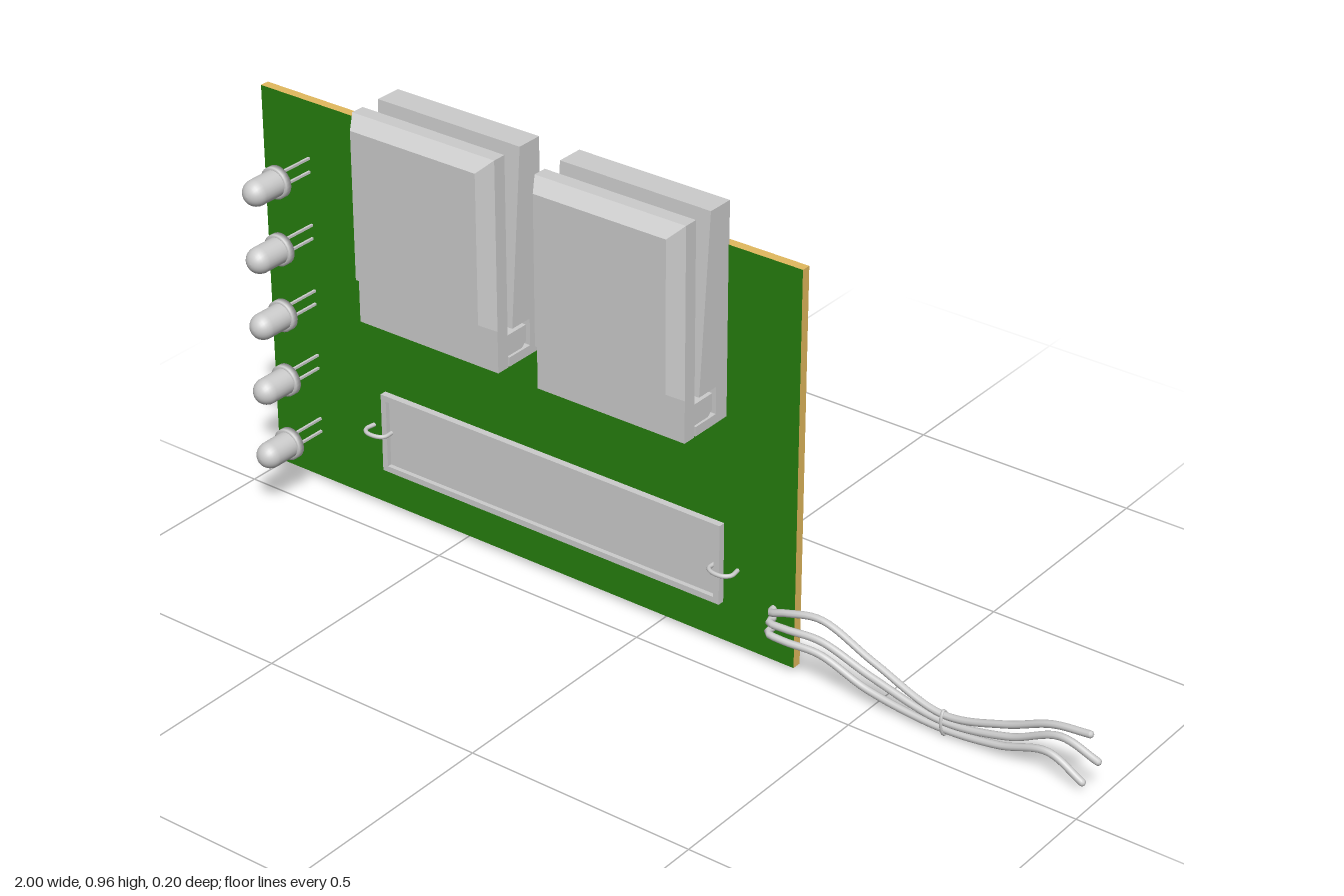
import * as THREE from 'three';

const material = (name, color) => {
  const m = new THREE.MeshStandardMaterial({ color });
  m.name = name;
  return m;
};

export function createModel() {
  const model = new THREE.Group();
  model.name = 'circuitBoardAssembly';
  const green = material('boardGreen', 0x267f0e);
  const tan = material('boardEdgeTan', 0xe3b95e);
  const grey = material('componentGrey', 0xcccccc);

  const add = (parent, name, geometry, x = 0, y = 0, z = 0, mat = grey) => {
    const mesh = new THREE.Mesh(geometry, mat);
    mesh.name = name;
    mesh.position.set(x, y, z);
    parent.add(mesh);
    return mesh;
  };
  const group = (name, x = 0, y = 0, z = 0) => {
    const g = new THREE.Group();
    g.name = name;
    g.position.set(x, y, z);
    model.add(g);
    return g;
  };
  // Round wire through a few points, with closed ends
  const wire = (parent, name, points, radius, segments = 24) => {
    const path = points.map((p) => new THREE.Vector3(...p));
    const curve = new THREE.CatmullRomCurve3(path);
    add(parent, name, new THREE.TubeGeometry(curve, segments, radius, 10));
    for (const t of [0, 1]) {
      const p = curve.getPoint(t);
      add(parent, name + 'End', new THREE.SphereGeometry(radius, 10, 6), p.x, p.y, p.z);
    }
  };
  // Side profile given as [z, y] points, extruded across x
  const sideProfile = (points, width) => {
    const shape = new THREE.Shape(points.map(([z, y]) => new THREE.Vector2(z, y)));
    const g = new THREE.ExtrudeGeometry(shape, { depth: width, bevelEnabled: false });
    return g.translate(0, 0, -width / 2).rotateY(-Math.PI / 2);
  };

  // Board: green faces, tan edges
  add(model, 'board', new THREE.BoxGeometry(1.316, 0.856, 0.02), -0.342, 0.442, -0.091,
    [tan, tan, tan, tan, green, green]);

  // Lamps with flange, domed lens and two leads
  const dome = [[0, 0.01], [0.034, 0.01], [0.034, 0.024], [0.028, 0.024], [0.028, 0.074]]
    .map(([r, h]) => new THREE.Vector2(r, h));
  const flange = dome.slice(0, 4);
  const lens = [dome[3], dome[4]];
  for (let i = 1; i <= 8; i++) {
    const a = (i / 8) * Math.PI / 2;
    lens.push(new THREE.Vector2(i === 8 ? 0 : 0.028 * Math.cos(a), 0.074 + 0.029 * Math.sin(a)));
  }
  for (let i = 0; i < 5; i++) {
    const lamp = group('lamp', -0.88, 0.137 + i * 0.148, 0);
    add(lamp, 'lampFlange', new THREE.LatheGeometry(flange, 24).rotateX(Math.PI / 2));
    add(lamp, 'lampLens', new THREE.LatheGeometry(lens, 24).rotateX(Math.PI / 2));
    for (const s of [-1, 1]) {
      add(lamp, 'lampLead', new THREE.BoxGeometry(0.005, 0.005, 0.095), 0, s * 0.015, -0.035);
    }
  }

  // Switches: wedge-shaped base, hooked rocker and bevelled pad
  const base = [[-0.083, 0.51], [0.016, 0.51], [0.016, 0.53], [-0.047, 0.53], [-0.047, 0.588],
    [0.006, 0.588], [-0.025, 0.96], [-0.083, 0.96]];
  const rocker = [[0.05, 0.51], [0.05, 0.96], [0.02, 0.96], [0.02, 0.58], [-0.035, 0.58],
    [-0.035, 0.545], [-0.022, 0.535], [0.02, 0.535], [0.02, 0.51]];
  const pad = new THREE.BoxGeometry(0.348, 0.36, 0.032);
  const p = pad.attributes.position;
  for (let i = 0; i < p.count; i++) {
    if (p.getZ(i) > 0) {
      p.setX(i, p.getX(i) - Math.sign(p.getX(i)) * 0.021);
      p.setY(i, p.getY(i) - Math.sign(p.getY(i)) * 0.021);
    }
  }
  pad.computeVertexNormals();
  for (const x of [-0.468, -0.024]) {
    const unit = group('switch', x);
    add(unit, 'switchBase', sideProfile(base, 0.348));
    add(unit, 'switchRocker', sideProfile(rocker, 0.348));
    add(unit, 'switchPad', pad, 0, 0.78, 0.066);
    for (const s of [-1, 1]) {
      const lx = s * 0.084;
      wire(unit, 'switchLead', [[lx, 0.515, -0.06], [lx, 0.5, -0.06], [lx, 0.488, -0.068],
        [lx, 0.485, -0.085]], 0.004, 12);
    }
  }

  // Long shallow tray with a raised rim and a hooked lead at each end
  const tray = group('tray', -0.276, 0.188, -0.083);
  const rim = new THREE.Shape([[-0.424, -0.088], [0.424, -0.088], [0.424, 0.088], [-0.424, 0.088]]
    .map((q) => new THREE.Vector2(...q)));
  rim.holes.push(new THREE.Path([[-0.411, -0.075], [-0.411, 0.075], [0.411, 0.075], [0.411, -0.075]]
    .map((q) => new THREE.Vector2(...q))));
  add(tray, 'trayRim', new THREE.ExtrudeGeometry(rim, { depth: 0.017, bevelEnabled: false }));
  add(tray, 'trayPanel', new THREE.BoxGeometry(0.83, 0.158, 0.007), 0, 0, 0.0035);
  for (const s of [-1, 1]) {
    const y = s < 0 ? 0 : -0.005;
    wire(tray, 'trayLead', [[s * 0.407, y, 0.005], [s * 0.408, y, 0.028], [s * 0.42, y, 0.037],
      [s * 0.447, y, 0.037], [s * 0.459, y, 0.025], [s * 0.457, y, 0]], 0.0045, 24);
  }

  // Three cables leaving the front of the board, bundled by a tie
  const cables = group('cables');
  const runs = [
    [[0.267, 0.13, -0.085], [0.27, 0.13, -0.066], [0.31, 0.145, -0.062], [0.385, 0.155, -0.07],
      [0.5, 0.1, -0.08], [0.655, 0.047, -0.08], [0.79, 0.078, -0.082], [0.89, 0.119, -0.083], [0.97, 0.13, -0.083]],
    [[0.267, 0.11, -0.085], [0.27, 0.11, -0.062], [0.31, 0.111, -0.059], [0.385, 0.109, -0.068],
      [0.5, 0.066, -0.078], [0.655, 0.032, -0.08], [0.8, 0.055, -0.082], [0.91, 0.1, -0.083], [0.99, 0.078, -0.083]],
    [[0.267, 0.088, -0.085], [0.27, 0.088, -0.058], [0.31, 0.086, -0.055], [0.385, 0.08, -0.066],
      [0.49, 0.035, -0.078], [0.655, 0.016, -0.08], [0.78, 0.028, -0.082], [0.885, 0.056, -0.083], [0.96, 0.02, -0.083]],
  ];
  for (const run of runs) wire(cables, 'cable', run, 0.0075, 64);
  const tie = add(cables, 'cableTie', new THREE.TorusGeometry(0.025, 0.0035, 8, 24)
    .scale(0.45, 1, 1).rotateY(Math.PI / 2), 0.66, 0.0305, -0.08);
  tie.rotation.z = 0.08;

  return model;
}
